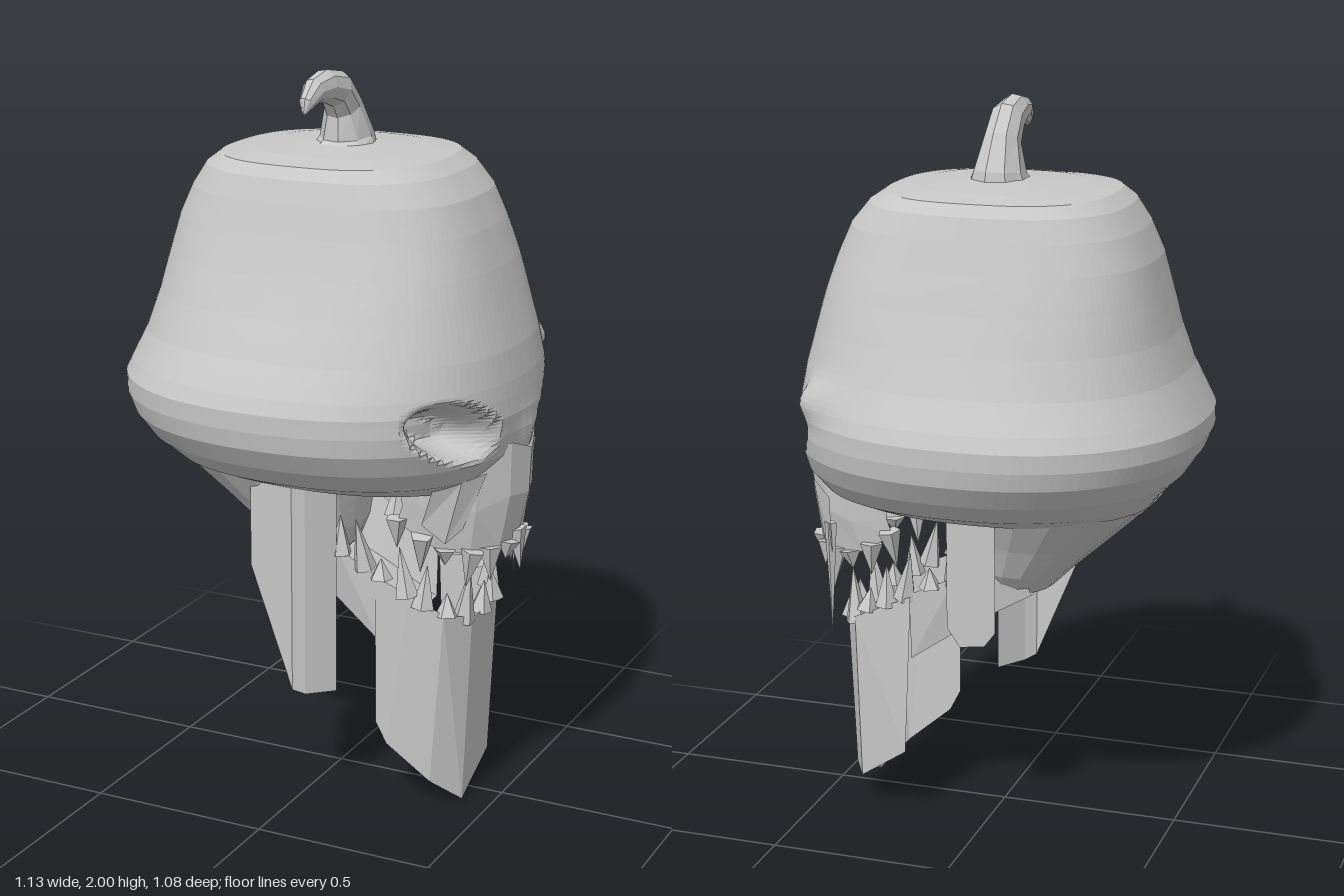
import * as THREE from 'three';

const bone = new THREE.MeshStandardMaterial({ color: 0xc8c8c8, flatShading: true, side: THREE.DoubleSide });
bone.name = 'grey bone';
const { smoothstep } = THREE.MathUtils;

// Linearly sample a table of rows at t in 0..1
function sample(rows, t) {
  const f = t * (rows.length - 1), i = Math.min(Math.floor(f), rows.length - 2), k = f - i;
  return rows[i].map((v, n) => v + (rows[i + 1][n] - v) * k);
}

function gridGeometry(rings, closed) {
  const n = rings[0].length, pos = [], idx = [];
  rings.forEach(r => r.forEach(p => pos.push(...p)));
  for (let j = 0; j < rings.length - 1; j++) {
    for (let i = 0; i < (closed ? n : n - 1); i++) {
      const a = j * n + i, b = j * n + (i + 1) % n;
      idx.push(a, a + n, b, b, a + n, b + n);
    }
  }
  const g = new THREE.BufferGeometry();
  g.setAttribute('position', new THREE.Float32BufferAttribute(pos, 3));
  g.setIndex(idx);
  g.computeVertexNormals();
  return g;
}

// Rows are [y, back x, front x, half depth], bottom to top; the outline grows a little squarer with height
function loft(rows, steps, sides, shape = p => p) {
  const rings = [];
  for (let j = 0; j <= steps; j++) {
    const [y, xb, xf, hz] = sample(rows, j / steps), ring = [];
    const power = 0.88 - 0.12 * smoothstep(y, 1.15, 1.55);
    const pw = v => Math.sign(v) * Math.abs(v) ** power;
    for (let i = 0; i < sides; i++) {
      const a = (i + 0.5) / sides * Math.PI * 2;
      ring.push(shape([(xb + xf) / 2 + pw(Math.cos(a)) * (xf - xb) / 2, y, pw(Math.sin(a)) * hz]));
    }
    rings.push(ring);
  }
  return gridGeometry(rings, true);
}

// Eye sockets: [z, y, half length, half height, tilt]
const eyes = [[0.28, 1.12, 0.15, 0.08, 0.38], [-0.23, 1.11, 0.16, 0.08, -0.55]];

function carveFace([x, y, z]) {
  if (x > 0.1) {
    for (const [ez, ey, l, h, tilt] of eyes) {
      const c = Math.cos(tilt), s = Math.sin(tilt);
      const u = (z - ez) * c + (y - ey) * s, v = (y - ey) * c - (z - ez) * s;
      x -= 0.13 * (1 - smoothstep(Math.hypot(u / l, v / h), 0.3, 1.05));
    }
    // Nose bridge and temple ridge
    x += 0.02 * Math.exp(-(((z + 0.01) / 0.06) ** 2) - ((y - 1.03) / 0.07) ** 2);
    x += 0.04 * Math.exp(-(((z + 0.38) / 0.05) ** 2) - ((y - 1.24) / 0.05) ** 2);
  }
  // Dome leans slightly to one side
  return [x, y, z - 0.012 * smoothstep(y, 1.25, 1.6)];
}

export function createModel() {
  const model = new THREE.Group();
  const add = (name, geometry, parent = model) => {
    const m = new THREE.Mesh(geometry, bone);
    m.name = name;
    parent.add(m);
    return m;
  };
  // Thin sheet hung between an upper and a lower edge
  const sheet = (name, upper, lower) => add(name, gridGeometry([lower, upper], false));

  // Domed head
  add('head', loft([
    [0.89, -0.12, -0.1, 0.01], [0.88, -0.37, 0.34, 0.2], [0.91, -0.41, 0.43, 0.3],
    [0.96, -0.45, 0.49, 0.42], [1.02, -0.51, 0.53, 0.49], [1.08, -0.55, 0.545, 0.53],
    [1.13, -0.57, 0.55, 0.54], [1.18, -0.57, 0.545, 0.542], [1.22, -0.55, 0.54, 0.525],
    [1.3, -0.51, 0.525, 0.48], [1.4, -0.475, 0.495, 0.435], [1.5, -0.45, 0.465, 0.395],
    [1.6, -0.425, 0.43, 0.36], [1.68, -0.39, 0.395, 0.335], [1.74, -0.35, 0.345, 0.315],
    [1.77, -0.31, 0.3, 0.29], [1.782, -0.22, 0.22, 0.21], [1.788, -0.13, 0.14, 0.13],
    [1.8, -0.01, 0.01, 0.01]], 90, 128, carveFace));

  // Lower back of the skull
  add('skullBase', loft([[0.63, -0.07, 0.0, 0.01], [0.67, -0.15, 0.04, 0.13], [0.73, -0.21, 0.06, 0.18],
    [0.82, -0.31, 0.07, 0.23], [0.94, -0.44, 0.08, 0.31]], 12, 20));

  // Hooked stem: rows are [y, z, radius]
  const stemRows = [[1.76, -0.005, 0.105], [1.81, -0.015, 0.08], [1.89, 0.01, 0.056], [1.94, 0.055, 0.052],
    [1.956, 0.12, 0.044], [1.952, 0.18, 0.034], [1.925, 0.22, 0.022], [1.9, 0.235, 0.005]];
  const stemRings = stemRows.map(([y, z, r], j) => {
    const p = stemRows[Math.max(j - 1, 0)], q = stemRows[Math.min(j + 1, stemRows.length - 1)];
    const t = Math.atan2(q[1] - p[1], q[0] - p[0]);
    return Array.from({ length: 9 }, (_, i) => {
      const a = i / 9 * Math.PI * 2, s = Math.sin(a) * r;
      return [0.01 + Math.cos(a) * r * 0.9, y - s * Math.sin(t), z + s * Math.cos(t)];
    });
  });
  add('stem', gridGeometry(stemRings, true));

  // Upper jaw wrapping the front of the face
  const upperTop = [[0.27, 0.92, 0.2], [0.38, 0.93, 0.19], [0.47, 1.0, 0.16], [0.54, 1.05, 0.08], [0.565, 1.02, 0]];
  const upperLow = [[0.26, 0.82, 0.19], [0.36, 0.76, 0.175], [0.45, 0.74, 0.14], [0.51, 0.75, 0.08], [0.53, 0.77, 0]];
  const mirrored = h => [...h, ...h.slice(0, -1).reverse().map(([x, y, z]) => [x, y, -z])];
  const upperMid = upperTop.map((p, i) => [(p[0] + upperLow[i][0]) / 2 + 0.012, (p[1] + upperLow[i][1]) / 2, p[2] * 0.97]);
  add('upperJaw', gridGeometry([mirrored(upperLow), mirrored(upperMid), mirrored(upperTop)], false));

  // Lower jaw sides and floor
  const jawRim = [[-0.06, 0.82, 0.17], [0.08, 0.72, 0.19], [0.21, 0.66, 0.2]];
  const jawLow = [[-0.12, 0.67, 0.13], [0.06, 0.57, 0.16], [0.21, 0.47, 0.19]];
  const flip = pts => pts.map(([x, y, z]) => [x, y, -z]);
  sheet('jawSideLeft', jawRim, jawLow);
  sheet('jawSideRight', flip(jawRim), flip(jawLow));
  sheet('jawFloor', jawLow, flip(jawLow));

  // Long chin plate, folded around the front
  sheet('chinPlate',
    [[0.2, 0.66, 0.2], [0.3, 0.62, 0.195], [0.39, 0.57, 0.17], [0.435, 0.54, 0.08], [0.44, 0.54, -0.08], [0.38, 0.57, -0.18], [0.2, 0.66, -0.22]],
    [[0.2, 0.23, 0.19], [0.23, 0.17, 0.185], [0.35, 0.07, 0.16], [0.415, 0, 0.085], [0.42, 0.09, -0.08], [0.37, 0.09, -0.17], [0.22, 0.2, -0.22]]);

  // Hanging side plates
  sheet('sidePlateFront',
    [[-0.14, 0.94, 0.27], [0, 0.94, 0.3], [0.03, 0.94, 0.28], [0.09, 0.94, 0.21]],
    [[-0.14, 0.66, 0.27], [0, 0.33, 0.3], [0.03, 0.315, 0.28], [0.09, 0.31, 0.21]]);
  sheet('sidePlateBack',
    [[-0.06, 0.94, -0.27], [-0.03, 0.94, -0.275], [0.04, 0.94, -0.275], [0.08, 0.94, -0.26]],
    [[-0.06, 0.6, -0.265], [-0.03, 0.56, -0.27], [0.04, 0.55, -0.27], [0.08, 0.6, -0.26]]);

  // Cheek shards
  sheet('cheekBack',
    [[0.52, 1.0, -0.14], [0.47, 0.98, -0.24], [0.4, 0.95, -0.3]],
    [[0.46, 0.79, -0.17], [0.43, 0.71, -0.225], [0.4, 0.8, -0.285]]);
  sheet('cheekFront',
    [[0.5, 0.98, 0.15], [0.45, 0.96, 0.2], [0.38, 0.94, 0.23]],
    [[0.44, 0.82, 0.165], [0.4, 0.78, 0.19], [0.34, 0.83, 0.21]]);
  const shard = add('cheekSpike', new THREE.ConeGeometry(0.018, 0.32, 4));
  shard.rotation.x = Math.PI;
  shard.position.set(0.41, 0.71, -0.27);

  // Uneven pointed teeth along both jaws
  const teeth = (name, path, count, height, dir) => {
    const group = new THREE.Group();
    group.name = name;
    const curve = new THREE.CatmullRomCurve3(path.map(p => new THREE.Vector3(...p)));
    for (let i = 0; i < count; i++) {
      const h = height * (0.85 + 0.4 * Math.sin(i * 2.3));
      const tooth = add('tooth', new THREE.ConeGeometry(0.033, h, 5), group);
      tooth.position.copy(curve.getPoint(i / (count - 1)));
      tooth.position.y += dir * h * 0.35;
      tooth.rotation.set(dir < 0 ? Math.PI : 0, i, 0.2 * Math.sin(i * 1.7));
    }
    model.add(group);
  };
  teeth('upperTeeth', mirrored(upperLow), 13, 0.1, -1);
  teeth('lowerTeeth', mirrored([[0.09, 0.72, 0.185], [0.2, 0.67, 0.195], [0.31, 0.62, 0.185], [0.4, 0.565, 0.14], [0.43, 0.545, 0]]), 15, 0.13, 1);

  return model;
}
